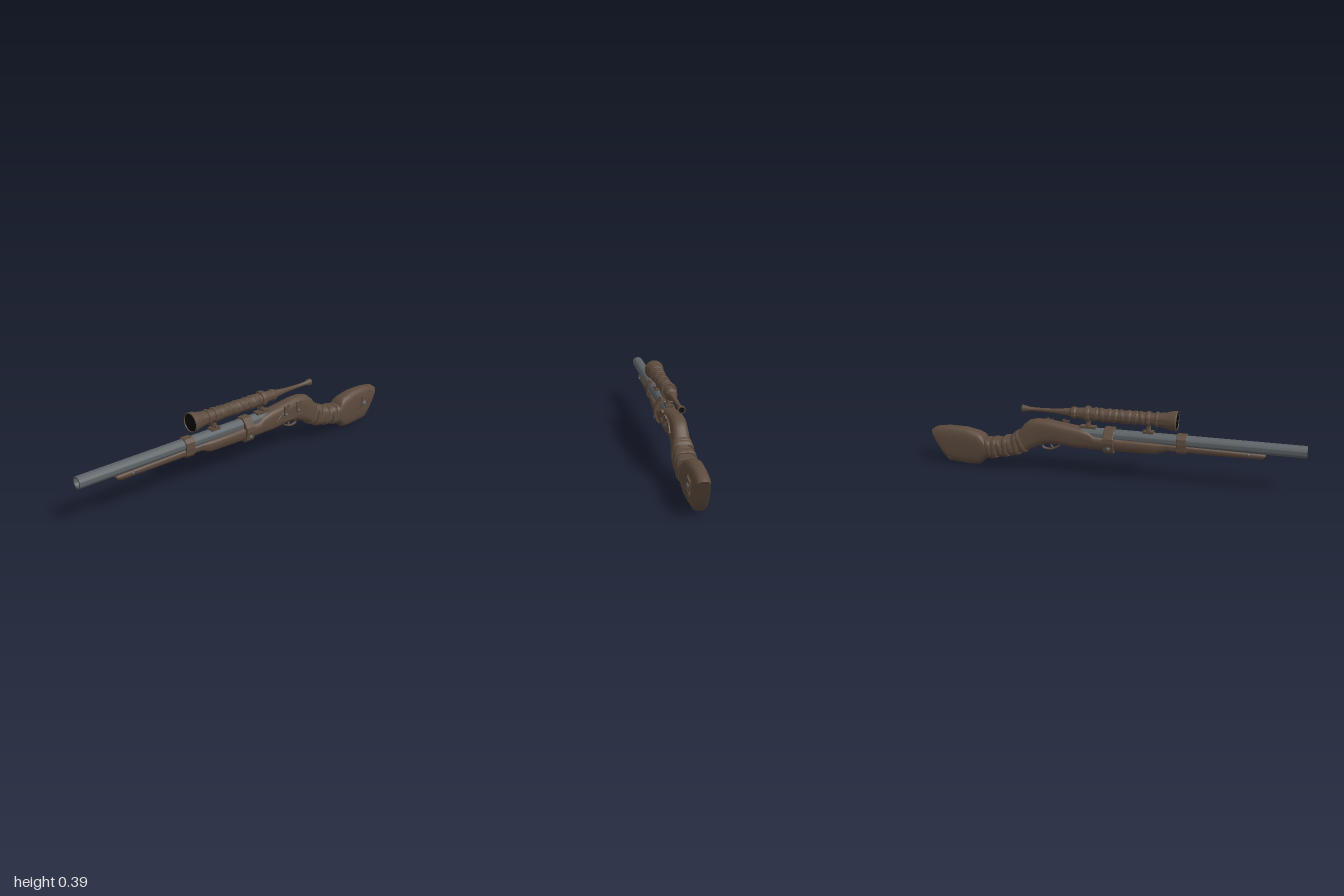
import * as THREE from 'three';
import { toCreasedNormals } from 'three/addons/utils/BufferGeometryUtils.js';

const mat = (name, color) => Object.assign(new THREE.MeshStandardMaterial({ color }), { name });

// Stock stations, front to back: top z, top y, bottom z, bottom y, top half width, bottom half width
const STOCK = [
  [0.80, 0.205, 0.79, 0.183, 0.022, 0.016],
  [0.78, 0.212, 0.775, 0.178, 0.029, 0.022],
  [0.30, 0.222, 0.30, 0.178, 0.034, 0.028],
  [0.25, 0.225, 0.24, 0.156, 0.045, 0.032],
  [0.10, 0.226, 0.10, 0.154, 0.050, 0.036],
  [-0.08, 0.230, -0.08, 0.153, 0.050, 0.038],
  [-0.11, 0.252, -0.10, 0.153, 0.047, 0.040],
  [-0.16, 0.264, -0.18, 0.153, 0.045, 0.042],
  [-0.26, 0.277, -0.23, 0.158, 0.043, 0.044],
  [-0.33, 0.288, -0.28, 0.164, 0.041, 0.044],
  [-0.40, 0.289, -0.34, 0.162, 0.040, 0.044],
  [-0.44, 0.279, -0.38, 0.148, 0.040, 0.044],
  [-0.47, 0.254, -0.42, 0.130, 0.041, 0.045],
  [-0.50, 0.215, -0.46, 0.107, 0.043, 0.046],
  [-0.54, 0.182, -0.51, 0.088, 0.045, 0.047],
  [-0.61, 0.158, -0.59, 0.070, 0.047, 0.048],
  [-0.69, 0.150, -0.675, 0.052, 0.049, 0.049],
  [-0.705, 0.176, -0.69, 0.040, 0.051, 0.048],
  [-0.73, 0.190, -0.725, 0.008, 0.050, 0.044],
  [-0.80, 0.206, -0.78, 0.001, 0.046, 0.041],
  [-0.90, 0.208, -0.88, 0.008, 0.041, 0.039],
  [-0.975, 0.197, -0.905, 0.012, 0.039, 0.038],
  [-1.00, 0.180, -0.917, 0.028, 0.035, 0.034],
];

// Station between two stock stations; top and bottom may differ to tilt it
function station(tTop, tBottom, grow) {
  const at = (t, k) => {
    const i = Math.min(Math.floor(t), STOCK.length - 2);
    return THREE.MathUtils.lerp(STOCK[i][k], STOCK[i + 1][k], t - i);
  };
  const [zt, yt, zb, yb] = [at(tTop, 0), at(tTop, 1), at(tBottom, 2), at(tBottom, 3)];
  const len = Math.hypot(zt - zb, yt - yb);
  const dz = (zt - zb) / len * grow, dy = (yt - yb) / len * grow;
  return [zt + dz, yt + dy, zb - dz, yb - dy, at(tTop, 4) + grow, at(tBottom, 5) + grow];
}

// Closed loft through rounded rectangular sections
function loft(stations, power = 3.2, sides = 32) {
  const pos = [], index = [];
  const bend = (v) => Math.sign(v) * Math.abs(v) ** (2 / power);
  for (const [zt, yt, zb, yb, wt, wb] of stations) {
    for (let j = 0; j < sides; j++) {
      const a = (j / sides) * Math.PI * 2;
      const v = (bend(Math.sin(a)) + 1) / 2;
      pos.push(bend(Math.cos(a)) * (wb + (wt - wb) * v), yb + (yt - yb) * v, zb + (zt - zb) * v);
    }
  }
  const last = (stations.length - 1) * sides, c0 = pos.length / 3;
  for (const [zt, yt, zb, yb] of [stations[0], stations[stations.length - 1]]) pos.push(0, (yt + yb) / 2, (zt + zb) / 2);
  for (let j = 0; j < sides; j++) {
    const k = (j + 1) % sides;
    for (let r = 0; r < last; r += sides) index.push(r + j, r + sides + j, r + k, r + sides + j, r + sides + k, r + k);
    index.push(c0, j, k, c0 + 1, last + k, last + j);
  }
  const g = new THREE.BufferGeometry();
  g.setAttribute('position', new THREE.Float32BufferAttribute(pos, 3));
  g.setIndex(index);
  return toCreasedNormals(g, 0.7);
}

// Lathe turned to run along z; profile is [radius, z] pairs
const turned = (profile, sides = 28) => toCreasedNormals(
  new THREE.LatheGeometry(profile.map(([r, z]) => new THREE.Vector2(r, z)), sides).rotateX(Math.PI / 2), 0.6);

export function createModel() {
  const model = new THREE.Group();
  const wood = mat('brown wood', 0x5c4a3d);
  const steel = mat('grey steel', 0x5c6266);
  const black = mat('black glass', 0x0a0a0a);

  const add = (name, geometry, material, x = 0, y = 0, z = 0, parent = model) => {
    const mesh = new THREE.Mesh(geometry, material);
    mesh.name = name;
    mesh.position.set(x, y, z);
    parent.add(mesh);
    return mesh;
  };

  // Stock and hollow barrel
  add('stock', loft(STOCK), wood);
  add('barrel', turned([[0, -0.16], [0.031, -0.16], [0.031, 1], [0.023, 1], [0.023, 0.88], [0, 0.88]]), steel, -0.002, 0.237, 0);

  // Leather wraps round the wrist, alternately tilted
  [[12.9, 0.12], [13.5, -0.12], [14.05, 0.12], [14.45, -0.08], [14.85, 0.1], [15.25, -0.08], [15.6, 0.06]].forEach(([t, tilt], i) => {
    const width = i < 3 ? 0.5 : 0.36, grow = i % 2 ? 0.009 : 0.006;
    add('wristWrap', loft([0, 0.25, 0.75, 1].map((f) =>
      station(t + f * width + tilt, t + f * width - tilt, f === 0 || f === 1 ? grow - 0.003 : grow))), wood);
  });

  // Barrel bands
  const band = (name, half, z, depth) => {
    const shape = new THREE.Shape([...half, ...half.map(([x, y]) => [-x, y]).reverse()].map(([x, y]) => new THREE.Vector2(x, y)));
    add(name, new THREE.ExtrudeGeometry(shape, { depth: depth - 0.006, bevelThickness: 0.003, bevelSize: 0.002, bevelSegments: 1 }), wood, 0, 0, z - depth / 2 + 0.003);
  };
  band('frontBand', [[0.024, 0.177], [0.034, 0.19], [0.036, 0.225], [0.033, 0.253], [0.018, 0.270]], 0.375, 0.052);
  band('middleBand', [[0.032, 0.146], [0.045, 0.160], [0.055, 0.205], [0.052, 0.228], [0.036, 0.252], [0.020, 0.273]], -0.003, 0.055);

  // Rivets on both sides
  for (const side of [-1, 1]) {
    for (const [x, y, z, r] of [[0.049, 0.175, -0.003, 0.012], [0.028, 0.203, 0.715, 0.009]]) {
      add('rivet', new THREE.SphereGeometry(r, 14, 10).scale(0.7, 1, 1), steel, side * x, y, z);
    }
  }

  // Scope body
  const scope = new THREE.Group();
  scope.name = 'scope';
  scope.position.set(-0.002, 0.342, 0);
  model.add(scope);
  add('scopeBody', turned([
    [0, -0.478], [0.013, -0.478], [0.019, -0.476], [0.018, -0.465], [0.011, -0.435], [0.010, -0.38], [0.013, -0.29],
    [0.018, -0.25], [0.021, -0.215], [0.030, -0.205], [0.032, -0.188], [0.027, -0.18], [0.030, -0.14], [0.033, -0.10],
    [0.033, 0.235], [0.036, 0.26], [0.042, 0.30], [0.050, 0.325], [0.052, 0.345], [0.048, 0.350], [0.046, 0.343], [0, 0.343],
  ]), wood, 0, 0, 0, scope);
  add('objectiveLens', new THREE.SphereGeometry(0.0475, 28, 8, 0, Math.PI * 2, 0, Math.PI / 2).rotateX(Math.PI / 2).scale(1, 1, 0.15), black, 0, 0, 0.344, scope);
  add('eyeLens', new THREE.CircleGeometry(0.013, 20).rotateY(Math.PI), black, 0, 0, -0.479, scope);
  for (const [z, r, w] of [[-0.12, 0.042, 0.026], [0.245, 0.041, 0.016], [0.20, 0.040, 0.022]]) {
    add('scopeRing', turned([[0, -w / 2], [r - 0.004, -w / 2], [r, -w / 4], [r, w / 4], [r - 0.004, w / 2], [0, w / 2]]), wood, 0, 0, z, scope);
  }
  for (let i = 0; i < 8; i++) {
    const wrap = add('scopeWrap', new THREE.TorusGeometry(0.0315, 0.0065, 6, 24).scale(1, 1, 2.1), wood, 0, 0, 0.165 - i * 0.035, scope);
    wrap.rotation.set(i % 3 ? 0.35 : -0.2, i % 2 ? 0.4 : 0.25, 0);
  }

  // Scope mounts
  for (const [z, len] of [[0.20, 0.055], [-0.12, 0.085]]) {
    add('mountPost', new THREE.CylinderGeometry(0.011, 0.015, 0.05, 12), wood, 0, 0.289, z);
    add('mountSaddle', new THREE.CylinderGeometry(0.035, 0.035, len, 16, 1, false, Math.PI / 2 + 0.5, Math.PI - 1).rotateX(Math.PI / 2).rotateZ(Math.PI / 2),
      wood, -0.002, 0.237, z).visible = false;
    add('mountBase', new THREE.BoxGeometry(0.034, 0.016, len), wood, 0, 0.268, z);
    add('mountScrew', new THREE.CylinderGeometry(0.008, 0.008, 0.05, 10).rotateZ(Math.PI / 2), wood, 0, 0.283, z);
  }

  // Lock plate on the left of the receiver
  const plate = new THREE.Shape();
  plate.moveTo(0.19, 0.205);
  plate.quadraticCurveTo(0.25, 0.265, 0.33, 0.262);
  plate.quadraticCurveTo(0.40, 0.265, 0.42, 0.215);
  plate.quadraticCurveTo(0.36, 0.195, 0.30, 0.190);
  plate.quadraticCurveTo(0.24, 0.185, 0.19, 0.205);
  add('lockPlate', new THREE.ExtrudeGeometry(plate, { depth: 0.006, bevelThickness: 0.002, bevelSize: 0.002, bevelSegments: 1 }).rotateY(Math.PI / 2), wood, 0.041, 0, 0);

  // Two small hammers with their pivots
  const hammer = new THREE.Shape([[-0.010, -0.028], [0.010, -0.028], [0.013, 0.005], [0.028, 0.022], [0.018, 0.034], [0, 0.022], [-0.014, 0.030], [-0.012, 0.005]]
    .map(([x, y]) => new THREE.Vector2(x, y)));
  for (const z of [-0.25, -0.34]) {
    add('hammer', new THREE.ExtrudeGeometry(hammer, { depth: 0.007, bevelEnabled: false }).rotateY(Math.PI / 2), wood, 0.049, 0.25, z);
    add('hammerPivot', new THREE.SphereGeometry(0.009, 12, 8), steel, 0.053, 0.232, z);
  }

  // Trigger and guard
  const tube = (name, points, r) => add(name, new THREE.TubeGeometry(
    new THREE.CatmullRomCurve3(points.map(([y, z]) => new THREE.Vector3(0, y, z))), 24, r, 8).scale(1.8, 1, 1), wood);
  tube('triggerGuard', [[0.168, -0.265], [0.148, -0.283], [0.131, -0.315], [0.127, -0.345], [0.136, -0.370], [0.165, -0.372]], 0.005);
  tube('trigger', [[0.17, -0.318], [0.150, -0.325], [0.139, -0.316]], 0.004);

  // Butt medallion with a bolt and clasps
  const medallion = new THREE.Group();
  medallion.name = 'buttMedallion';
  medallion.position.set(0.042, 0.12, -0.88);
  medallion.rotation.x = -0.2;
  model.add(medallion);
  add('medallionPlate', new THREE.BoxGeometry(0.008, 0.05, 0.042), wood, 0, 0, 0, medallion);
  add('medallionBolt', new THREE.SphereGeometry(0.015, 16, 10).scale(0.5, 1, 1), steel, 0.005, 0, 0, medallion);
  for (const y of [-0.03, 0.03]) add('medallionClasp', new THREE.BoxGeometry(0.010, 0.012, 0.056), wood, 0.001, y, 0, medallion);

  // Seam strip near the heel of the butt
  add('buttSeam', loft([station(20.5, 20.5, 0.001), station(20.6, 20.6, 0.001)]), wood);
  return model;
}
